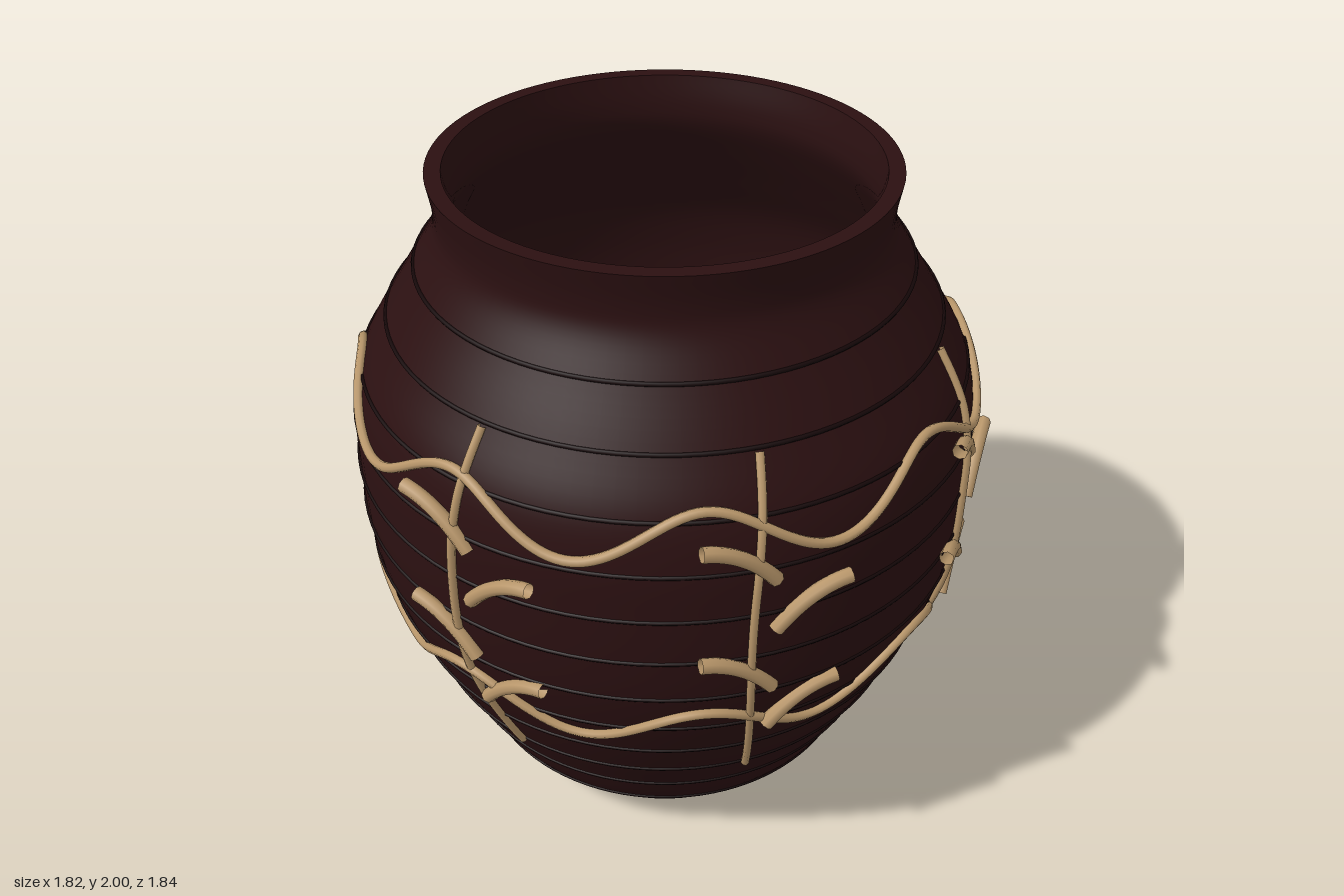
import * as THREE from 'three';

const clay = new THREE.MeshStandardMaterial({ color: 0x2b1011 });
clay.name = 'dark clay';
const groove = new THREE.MeshStandardMaterial({ color: 0x150708 });
groove.name = 'black band';
const rope = new THREE.MeshStandardMaterial({ color: 0xb8966a, side: THREE.DoubleSide });
rope.name = 'tan vine';

// Outer wall of the jar, from foot to lip
const v2 = (p) => new THREE.Vector2(p[0], p[1]);
const wall = new THREE.SplineCurve([
  [0.48, 0], [0.61, 0.165], [0.68, 0.308], [0.75, 0.451], [0.81, 0.594], [0.86, 0.737],
  [0.893, 0.88], [0.905, 1.023], [0.905, 1.166], [0.898, 1.309], [0.863, 1.452],
  [0.78, 1.595], [0.69, 1.738], [0.633, 1.84], [0.624, 1.91], [0.637, 2],
].map(v2)).getPoints(90);

// Radius of the outer wall at a height
function radiusAt(y) {
  const i = Math.max(1, wall.findIndex((p) => p.y >= y));
  const a = wall[i - 1], b = wall[i];
  return THREE.MathUtils.mapLinear(y, a.y, b.y, a.x, b.x);
}

// Point on the wall; angle 0 is the front, positive towards +x
function onWall(angle, y, lift) {
  const r = radiusAt(y) + lift;
  return new THREE.Vector3(Math.sin(angle) * r, y, Math.cos(angle) * r);
}

function add(parent, name, geometry, material) {
  const mesh = new THREE.Mesh(geometry, material);
  mesh.name = name;
  parent.add(mesh);
  return mesh;
}

function curveOf(count, fn, closed = false) {
  const points = [];
  for (let i = 0; i < count; i++) points.push(fn(i / (closed ? count : count - 1)));
  return new THREE.CatmullRomCurve3(points, closed);
}

export function createModel() {
  const model = new THREE.Group();
  model.name = 'jar';
  const jar = new THREE.Group();
  jar.name = 'decoratedJar';
  jar.position.z = -0.015;
  model.add(jar);

  // Jar shell: separate lathes keep the edges sharp
  const inside = wall.filter((p) => p.y > 0.05).reverse()
    .map((p) => new THREE.Vector2(p.x - 0.045, p.y));
  inside.push(new THREE.Vector2(0.46, 0.05));
  const shell = {
    base: [[0, 0], [0.48, 0]].map(v2),
    outerWall: wall,
    lip: [[0.637, 2], [0.592, 2]].map(v2),
    innerWall: inside,
    floor: [[0.46, 0.05], [0, 0.05]].map(v2),
  };
  for (const [name, points] of Object.entries(shell)) {
    add(jar, name, new THREE.LatheGeometry(points, 96), clay);
  }

  // Thin dark bands around the wall
  for (let i = 0; i < 12; i++) {
    const y = 0.165 + 0.143 * i;
    const band = add(jar, 'band', new THREE.TorusGeometry(radiusAt(y), 0.006, 6, 96), groove);
    band.rotation.x = Math.PI / 2;
    band.position.y = y;
  }

  // Two wavy vines running round the jar
  for (const [name, height] of [['upperVine', 1.41], ['lowerVine', 0.75]]) {
    const path = curveOf(128, (t) => {
      const a = t * Math.PI * 2;
      return onWall(a, height - 0.07 * Math.sin(8 * a), 0.008);
    }, true);
    add(jar, name, new THREE.TubeGeometry(path, 320, 0.014, 8, true), rope);
  }

  // Three upright sprigs, each a stem with four curled leaves
  for (const angle of [-0.9, 0, 0.9]) {
    const sprig = new THREE.Group();
    sprig.name = 'sprig';
    sprig.rotation.y = angle;
    jar.add(sprig);

    const stem = curveOf(16, (t) => onWall(
      -0.055 * Math.sin(Math.PI * t) - 0.02 * t, 0.445 + 1.145 * t, 0.007));
    add(sprig, 'stem', new THREE.TubeGeometry(stem, 48, 0.012, 8), rope);

    for (const [side, top] of [[-1, 1.402], [1, 1.243], [-1, 1.038], [1, 0.867]]) {
      const depth = radiusAt(top - 0.07) + 0.008;
      const leaf = new THREE.QuadraticBezierCurve3(
        new THREE.Vector3(side * 0.2, top, depth),
        new THREE.Vector3(side * 0.09, top - 0.015, depth),
        new THREE.Vector3(0, top - 0.13, depth));
      add(sprig, 'leaf', new THREE.TubeGeometry(leaf, 16, 0.021, 8), rope);
    }
  }
  return model;
}
